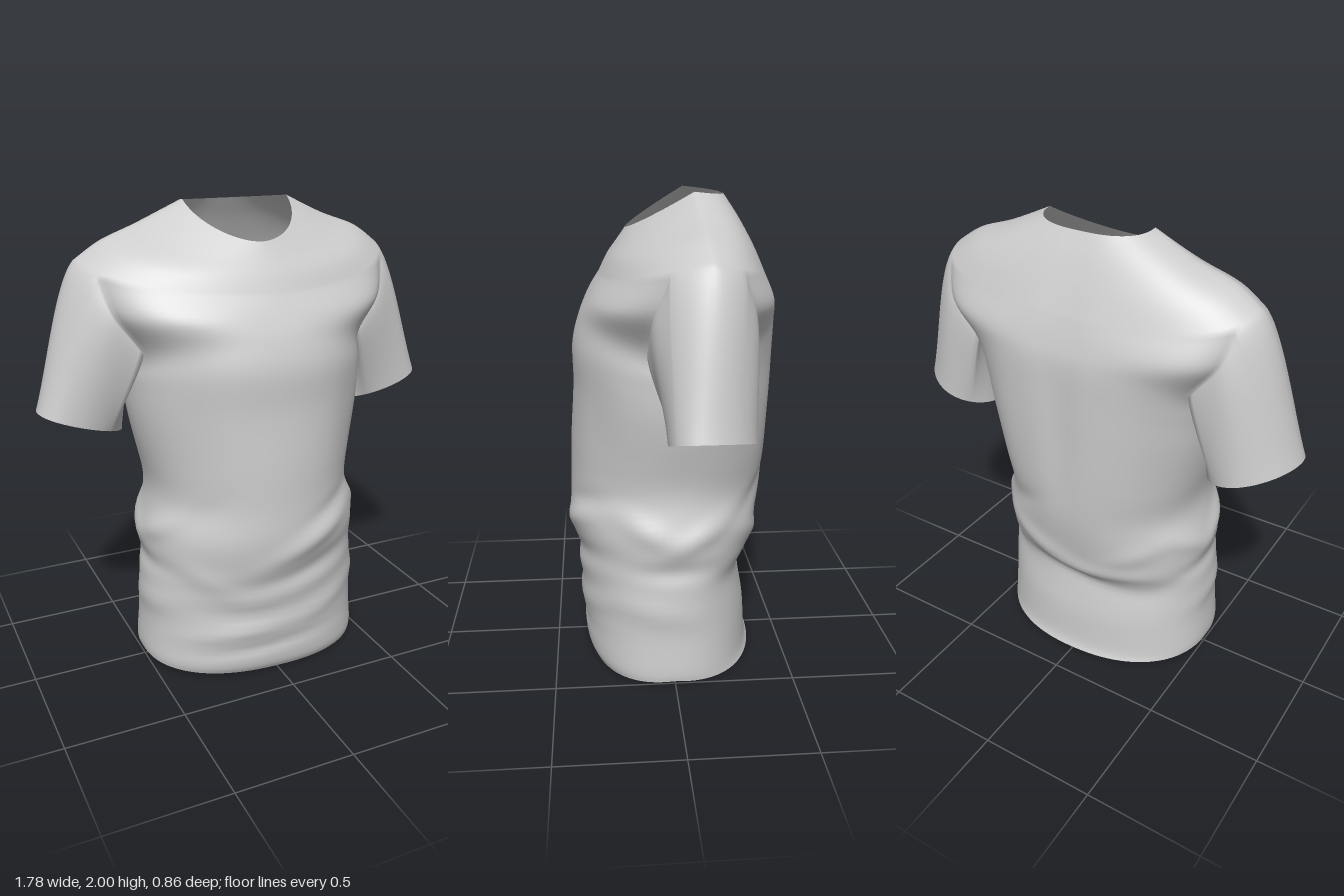
import * as THREE from 'three';

const COLS = 96, SUB = 6, SLEEVE_ROWS = 20;
// Armhole: key rows 10 to 12, a few columns either side of the flank
const TIP = 12, HOLE_LOW = 10 * SUB, HOLE_HIGH = TIP * SUB, HOLE_A = 18, HOLE_B = 30;

// Torso rings from hem to neckline:
// half width, side y, side z, front y, front z, back y, back z, front power, back power
const RINGS = [
  [.51, .035, 0, .01, .35, .01, -.37, .85, .9],
  [.512, .08, 0, .06, .37, .06, -.355, .87, .9],
  [.5, .22, 0, .2, .38, .22, -.343, .9, .9],
  [.495, .4, 0, .4, .385, .4, -.318, .92, .9],
  [.49, .52, 0, .52, .41, .52, -.36, .95, .9],
  [.485, .65, 0, .65, .425, .65, -.39, .95, .92],
  [.455, .8, 0, .8, .42, .8, -.415, 1, .95],
  [.475, .95, -.01, .97, .415, .97, -.425, 1, .9],
  [.508, 1.15, -.03, 1.2, .4, 1.2, -.43, .95, .85],
  [.515, 1.28, -.06, 1.37, .4, 1.38, -.43, .9, .79],
  [.522, 1.38, -.11, 1.49, .37, 1.52, -.425, .82, .7],
  [.635, 1.6, -.12, 1.58, .33, 1.61, -.405, .79, .62],
  [.69, 1.785, -.11, 1.66, .285, 1.7, -.375, 1.05, .85],
  [.575, 1.86, -.1, 1.73, .25, 1.8, -.33, 1, .76],
  [.41, 1.92, -.1, 1.79, .21, 1.9, -.28, 1.02, .75],
  [.235, 2, -.09, 1.85, .17, 1.985, -.23, 1.1, .8],
];

// Cloth folds: x, y, slope, length, width, height
const FRONT_FOLDS = [
  [.16, .64, .38, .22, .05, .02], [.3, .76, .25, .16, .04, -.016],
  [.22, .5, .2, .22, .05, -.018], [.05, .4, .15, .35, .05, .012],
  [-.25, .32, -.1, .22, .04, -.014], [-.2, .22, .12, .3, .03, .014],
  [-.1, .13, .08, .35, .025, -.012], [-.35, .5, -.6, .15, .05, .015],
  [-.38, .75, .5, .1, .05, -.015], [.3, .3, .25, .2, .04, .014],
  [.36, 1.05, 0, .08, .3, -.012], [-.36, 1.05, 0, .08, .3, -.012],
];
const BACK_FOLDS = [
  [.2, .58, .35, .25, .05, .02], [-.2, .5, -.05, .25, .04, .014],
  [0, .42, .12, .4, .04, -.01], [.3, .75, -.5, .15, .05, -.014],
  [-.35, .66, -.5, .15, .05, .015], [0, 1.3, 0, .07, .45, -.016],
  [.3, 1.1, 0, .08, .35, .01], [-.38, 1, 0, .07, .3, -.012],
];
// Folds on the flanks, placed by z instead of x
const SIDE_FOLDS = [
  [.12, .68, .45, .14, .05, .018], [-.12, .66, -.45, .14, .05, .018],
  [0, .5, 0, .2, .04, -.014], [.1, .33, .15, .2, .05, .012],
  [-.25, .4, .5, .08, .05, -.012], [0, .9, 0, .2, .1, -.008],
];

const gauss = v => Math.exp(-v * v);
const foldSum = (folds, u, y) => folds.reduce((sum, [u0, y0, slope, len, wide, amp]) =>
  sum + amp * gauss((u - u0) / len) * gauss((y - y0 - slope * (u - u0)) / wide), 0);

function catmull(a, b, c, d, t) {
  return .5 * (2 * b + (c - a) * t + (2 * a - 5 * b + 4 * c - d) * t * t + (3 * b - a - 3 * c + d) * t ** 3);
}

// Two splines, below and above the shoulder tip
function ringAt(row) {
  const last = RINGS.length - 1;
  const k = Math.min(Math.floor(row / SUB), last - 1), t = row / SUB - k;
  const [low, high] = k < TIP ? [0, TIP] : [TIP, last];
  const key = i => RINGS[Math.max(low, Math.min(high, i))];
  return RINGS[0].map((_, n) => catmull(key(k - 1)[n], key(k)[n], key(k + 1)[n], key(k + 2)[n], t));
}

function torsoPoint(ring, col) {
  const [w, ys, zs, yf, zf, yb, zb, pf, pb] = ring;
  const a = col / COLS * Math.PI * 2, s = Math.sin(a), c = Math.cos(a);
  const front = c >= 0, p = front ? pf : pb;
  const k = Math.abs(c) < 1e-9 ? 0 : Math.abs(c) ** p;
  const x = w * Math.sign(s) * Math.abs(s) ** p;
  const y = ys + ((front ? yf : yb) - ys) * k;
  const z = zs + ((front ? zf : zb) - zs) * k;
  const fade = THREE.MathUtils.smoothstep(y, .03, .15);
  const fold = fade * (foldSum(front ? FRONT_FOLDS : BACK_FOLDS, x, y) * c * c
    + foldSum(SIDE_FOLDS, z, y) * s * s);
  const tilt = -.03 * x * (1 - THREE.MathUtils.smoothstep(y, 0, .4));
  return new THREE.Vector3(x + s * fold, Math.max(0, y + tilt), z + c * fold);
}

// Sleeve from armhole point h to the cuff; side is +1 or -1
function sleevePoint(h, side, v) {
  const t = Math.atan2((h.y - 1.59) / .2, (h.z + .1) / .19);
  const s = Math.sin(t), c = Math.cos(t), k = (s + 1) / 2;
  const mirror = new THREE.Vector3(side, 1, 1);
  const start = h.clone().multiply(mirror);
  const cuff = new THREE.Vector3(.71 + .18 * s, 1.13 + .06 * s, -.115 + .165 * c + .05 * s * k);
  const t0 = new THREE.Vector3(-.03 + .26 * k, -.1 - .16 * k, .06 * c);
  const t1 = cuff.clone().sub(start).multiplyScalar(.95);
  const v2 = v * v, v3 = v2 * v;
  return start.multiplyScalar(2 * v3 - 3 * v2 + 1)
    .addScaledVector(t0, v3 - 2 * v2 + v)
    .addScaledVector(cuff, 3 * v2 - 2 * v3)
    .addScaledVector(t1, v3 - v2)
    .multiply(mirror);
}

export function createModel() {
  const points = [], body = [], sleeves = { leftSleeve: [], rightSleeve: [] };
  const rows = (RINGS.length - 1) * SUB;
  const id = (r, c) => r * COLS + (c + COLS) % COLS;
  const quad = (list, a, b, c, d) => list.push(a, b, c, a, c, d);

  // Torso, leaving out the two armholes
  for (let r = 0; r <= rows; r++) {
    const ring = ringAt(r);
    for (let c = 0; c < COLS; c++) points.push(torsoPoint(ring, c));
  }
  for (let r = 0; r < rows; r++) for (let c = 0; c < COLS; c++) {
    const mirrored = c < COLS / 2 ? c : COLS - 1 - c;
    if (r >= HOLE_LOW && r < HOLE_HIGH && mirrored >= HOLE_A && mirrored < HOLE_B) continue;
    quad(body, id(r, c), id(r, c + 1), id(r + 1, c + 1), id(r + 1, c));
  }

  // Sleeves grow out of the armhole edges
  for (const [name, side] of [['leftSleeve', 1], ['rightSleeve', -1]]) {
    let loop = [];
    const add = (r, c) => loop.push(id(r, side * c));
    for (let r = HOLE_LOW; r < HOLE_HIGH; r++) add(r, HOLE_A);
    for (let c = HOLE_A; c < HOLE_B; c++) add(HOLE_HIGH, c);
    for (let r = HOLE_HIGH; r > HOLE_LOW; r--) add(r, HOLE_B);
    for (let c = HOLE_B; c > HOLE_A; c--) add(HOLE_LOW, c);
    const edge = loop.map(i => points[i]);
    for (let i = 1; i <= SLEEVE_ROWS; i++) {
      const next = edge.map(h => points.push(sleevePoint(h, side, i / SLEEVE_ROWS)) - 1);
      loop.forEach((a, j) => {
        const n = (j + 1) % loop.length;
        if (side > 0) quad(sleeves[name], a, next[j], next[n], loop[n]);
        else quad(sleeves[name], a, loop[n], next[n], next[j]);
      });
      loop = next;
    }
  }

  // Smooth normals across the seams, then one mesh per part
  const whole = new THREE.BufferGeometry().setFromPoints(points);
  whole.setIndex([...body, ...sleeves.leftSleeve, ...sleeves.rightSleeve]);
  whole.computeVertexNormals();
  const cloth = new THREE.MeshStandardMaterial({ color: 0xcccccc, side: THREE.DoubleSide });
  const group = new THREE.Group();
  group.name = 'shirt';
  for (const [name, index] of Object.entries({ torso: body, ...sleeves })) {
    const part = new THREE.BufferGeometry();
    part.setAttribute('position', whole.getAttribute('position'));
    part.setAttribute('normal', whole.getAttribute('normal'));
    part.setIndex(index);
    const mesh = new THREE.Mesh(part, cloth);
    mesh.name = name;
    group.add(mesh);
  }
  return group;
}
